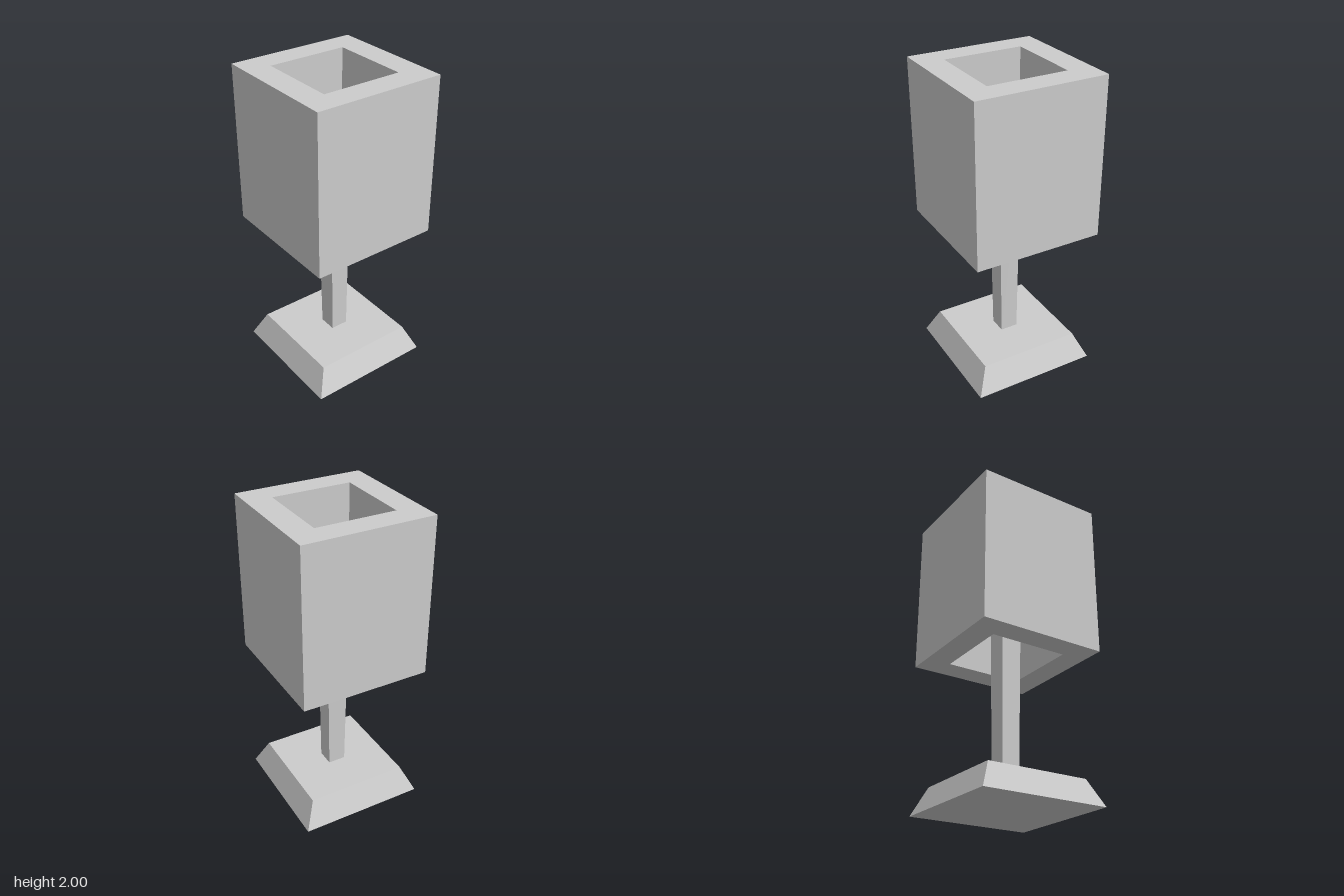
import * as THREE from 'three';

// Square block whose corners are moved to a bottom half-width and four top corners
function taperedBlock(y0, y1, half, topCorner) {
  const geo = new THREE.BoxGeometry(2, 1, 2).toNonIndexed();
  const p = geo.attributes.position;
  for (let i = 0; i < p.count; i++) {
    const sx = Math.sign(p.getX(i)), sz = Math.sign(p.getZ(i));
    if (p.getY(i) > 0) {
      const [x, z] = topCorner(sx, sz);
      p.setXYZ(i, x, y1, z);
    } else p.setXYZ(i, sx * half, y0, sz * half);
  }
  geo.computeVertexNormals();
  return geo;
}

// Closed square outline
function square(half, Type, cx = 0, cy = 0) {
  return new Type([[-1, -1], [1, -1], [1, 1], [-1, 1]]
    .map(([x, y]) => new THREE.Vector2(cx + x * half, cy + y * half)));
}

export function createModel() {
  const group = new THREE.Group();
  const grey = new THREE.MeshStandardMaterial({ color: 0xcccccc });
  grey.name = 'light grey';
  const add = (name, geo) => {
    const mesh = new THREE.Mesh(geo, grey);
    mesh.name = name;
    group.add(mesh);
  };

  // Sloped foot
  const base = taperedBlock(0, 0.17, 0.411, (sx, sz) => [sx * 0.333, sz * 0.333]);
  base.translate(-0.002, 0, 0);
  add('base', base);

  // Slightly crooked stem that widens upward into the shade
  add('stem', taperedBlock(0.165, 1.5, 0.058, (sx, sz) => [
    sx > 0 ? (sz > 0 ? 0.068 : 0.075) : -0.075,
    sz > 0 ? (sx > 0 ? 0.075 : 0.072) : (sx > 0 ? -0.07 : -0.075),
  ]));

  // Thick-walled shade, open at top and bottom
  const outline = square(0.42, THREE.Shape);
  outline.holes.push(square(0.257, THREE.Path, -0.002, 0.001));
  const shade = new THREE.ExtrudeGeometry(outline, { depth: 1.03, bevelEnabled: false });
  shade.rotateX(-Math.PI / 2);
  shade.translate(0, 0.97, 0);
  add('shade', shade);

  return group;
}
